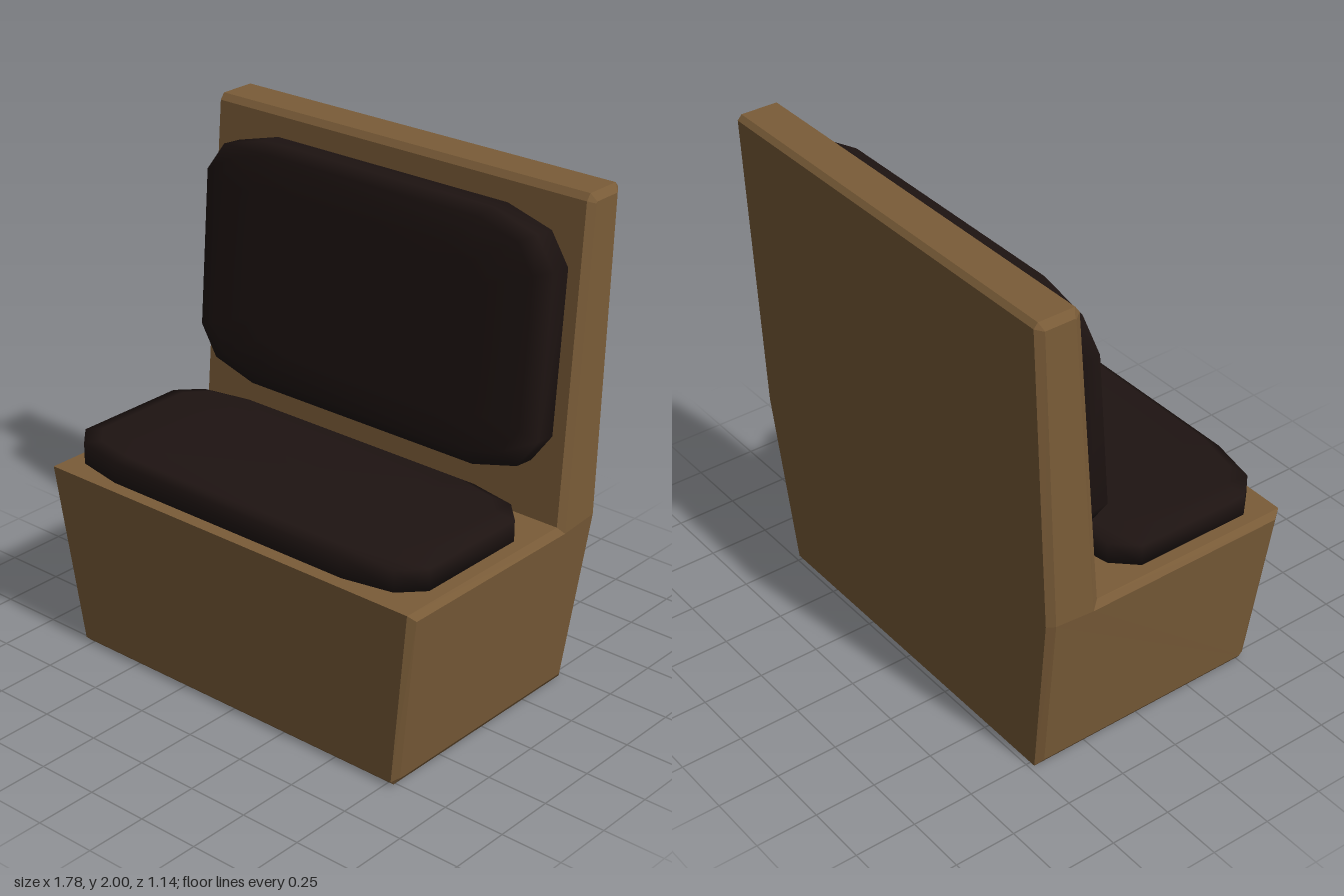
import * as THREE from 'three';

const wood = new THREE.MeshStandardMaterial({ color: 0x7a5c38, flatShading: true });
const leather = new THREE.MeshStandardMaterial({ color: 0x1e1412 });

// L-shaped bench body: side profile (z, y) extruded across x with chamfered edges
function frameGeometry() {
  const profile = [
    [0.51, 0], [0.53, 0.02], [0.57, 0.75], [-0.285, 0.75],
    [-0.383, 1.975], [-0.402, 2], [-0.552, 2], [-0.569, 1.98],
    [-0.511, 0.735], [-0.48, 0],
  ];
  const shape = new THREE.Shape(profile.map(([z, y]) => new THREE.Vector2(z, y)));
  const geo = new THREE.ExtrudeGeometry(shape, {
    depth: 1.74, bevelEnabled: true, bevelSegments: 1,
    bevelThickness: 0.02, bevelSize: 0.03, bevelOffset: -0.03,
  });
  geo.translate(0, 0, -0.87);
  geo.rotateY(-Math.PI / 2);
  // narrow the base toward the floor, and the backrest very slightly toward the top
  const pos = geo.attributes.position;
  for (let i = 0; i < pos.count; i++) {
    const y = pos.getY(i);
    const k = y < 0.735 ? 0.888 + (0.112 * y) / 0.735 : 1 - 0.005 * (y - 0.735);
    pos.setX(i, pos.getX(i) * k);
  }
  geo.computeVertexNormals();
  return geo;
}

// Puffy cushion: rings of a rectangle with double-cut corners, stacked along y
function cushionGeometry(halfX, halfZ, halfY) {
  const corner = [[1, 0.65], [0.9, 0.89], [0.66, 1]];
  const flip = (sx, sz) => corner.map(([x, z]) => [x * sx, z * sz]);
  const outline = [
    ...flip(1, 1), ...flip(-1, 1).reverse(),
    ...flip(-1, -1), ...flip(1, -1).reverse(),
  ];
  const half = [[1, 0.62], [0.91, 0.92], [0.65, 1], [0, 1]]; // [scale, height]
  const rings = [...half.map(([s, h]) => [s, -h]).reverse(), ...half];
  const n = outline.length;
  const positions = [];
  const index = [];
  rings.forEach(([s, h], r) => {
    outline.forEach(([x, z], i) => {
      positions.push(x * s * halfX, h * halfY, z * s * halfZ);
      if (r === 0) return;
      const j = (i + 1) % n;
      const a = (r - 1) * n;
      const b = r * n;
      index.push(a + i, b + i, b + j, a + i, b + j, a + j);
    });
  });
  const geo = new THREE.BufferGeometry();
  geo.setAttribute('position', new THREE.Float32BufferAttribute(positions, 3));
  geo.setIndex(index);
  geo.computeVertexNormals();
  return geo;
}

export function createModel() {
  const group = new THREE.Group();
  group.name = 'boothBench';

  const add = (name, geometry, material, y = 0, z = 0, tilt = 0) => {
    const mesh = new THREE.Mesh(geometry, material);
    mesh.name = name;
    mesh.position.set(0, y, z);
    mesh.rotation.x = tilt;
    group.add(mesh);
  };

  add('benchFrame', frameGeometry(), wood);
  add('seatCushion', cushionGeometry(0.845, 0.37, 0.069), leather, 0.818, 0.18);
  // back cushion leans with the backrest
  add('backCushion', cushionGeometry(0.825, 0.488, 0.069), leather, 1.418, -0.278, Math.PI / 2 - 0.08);

  return group;
}
